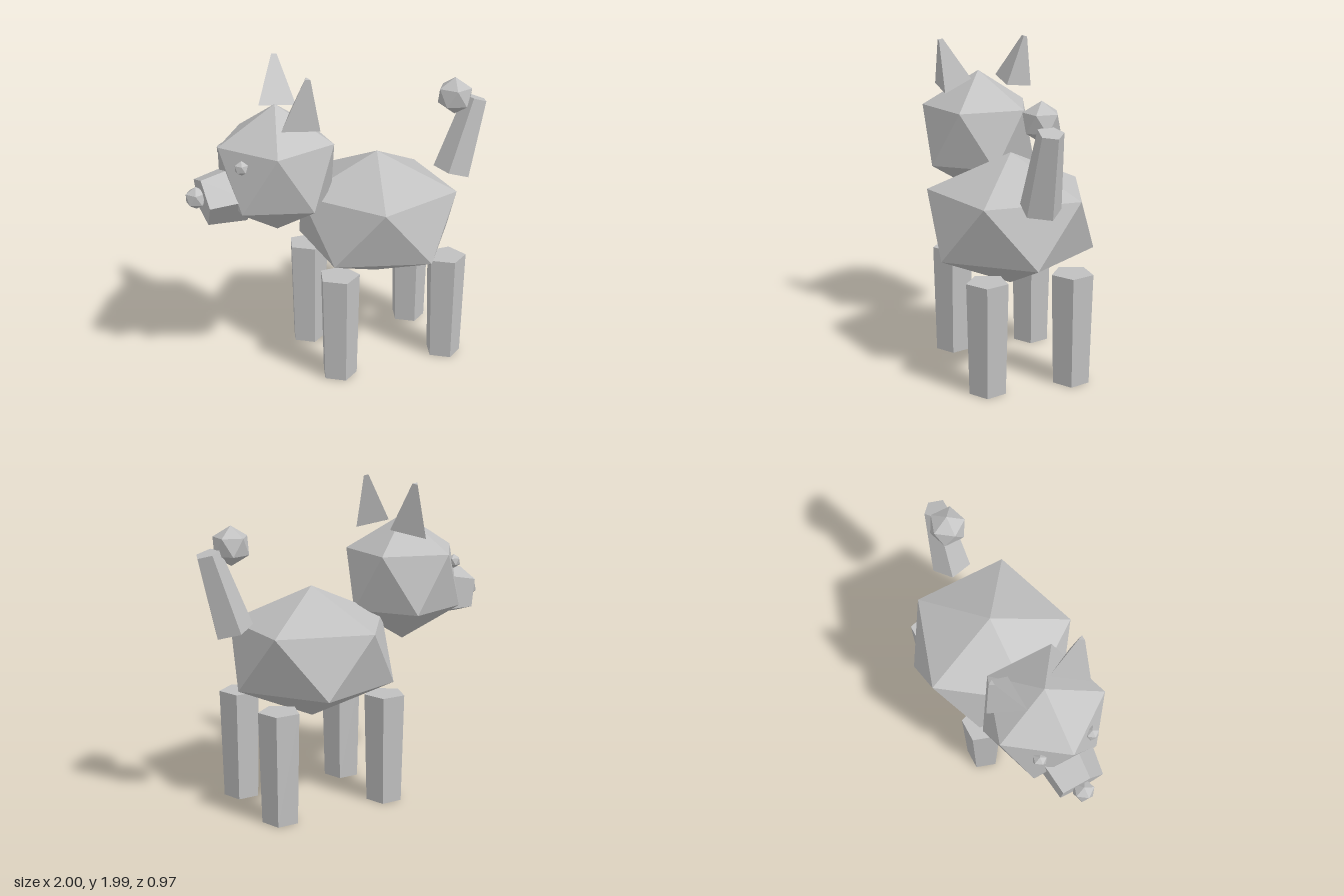
import * as THREE from 'three';

export function createModel() {
  const model = new THREE.Group();
  model.name = 'lowPolyDog';

  const grey = new THREE.MeshStandardMaterial({ color: 0xc0c0c0, flatShading: true });
  grey.name = 'plain grey';

  function add(name, geometry, x, y, z) {
    const mesh = new THREE.Mesh(geometry, grey);
    mesh.name = name;
    mesh.position.set(x, y, z);
    model.add(mesh);
    return mesh;
  }

  // Icosahedron standing on one corner, upper ring pointing towards the snout (-x)
  function gem(rx, ry = rx, rz = rx) {
    const tilt = Math.atan(2 / (1 + Math.sqrt(5)));
    return new THREE.IcosahedronGeometry(1, 0).rotateZ(tilt).scale(rx, ry, rz);
  }

  // Body and head
  add('body', gem(0.57, 0.415, 0.57), 0.24, 0.955, 0);
  add('head', gem(0.405), -0.43, 1.36, 0);

  // Muzzle: tapered five-sided prism, tipped slightly down
  const muzzle = new THREE.CylinderGeometry(0.154, 0.19, 0.24, 5).rotateZ(1.69);
  add('muzzle', muzzle, -0.782, 1.238, 0);
  add('nose', gem(0.07), -0.938, 1.245, 0);

  // Eyes, ears and legs on both sides
  for (const side of [1, -1]) {
    const label = side > 0 ? 'left' : 'right';
    add(label + 'Eye', gem(0.045), -0.705, 1.46, side * 0.172);

    // Three-sided ears lean outwards; both keep a corner towards -z
    const ear = new THREE.CylinderGeometry(0.02, 0.141, 0.31, 3)
      .rotateY(Math.PI)
      .translate(0, 0.155, 0)
      .rotateX(side * 0.25)
      .rotateZ(-0.12);
    add(label + 'Ear', ear, -0.367, 1.688, side * 0.203);

    for (const [part, x] of [['FrontLeg', -0.13], ['HindLeg', 0.61]]) {
      const leg = new THREE.CylinderGeometry(0.13, 0.114, 0.692, 5);
      add(label + part, leg, x, 0.348, side * 0.265);
    }
  }

  // Tail and its tip ball
  const tail = new THREE.CylinderGeometry(0.078, 0.125, 0.5, 5).rotateY(0.58).rotateZ(-0.31);
  add('tail', tail, 0.852, 1.392, 0);
  add('tailTip', gem(0.12), 0.777, 1.662, 0);

  // Rest the feet on the ground
  const box = new THREE.Box3().setFromObject(model);
  for (const part of model.children) part.position.y -= box.min.y;

  return model;
}
